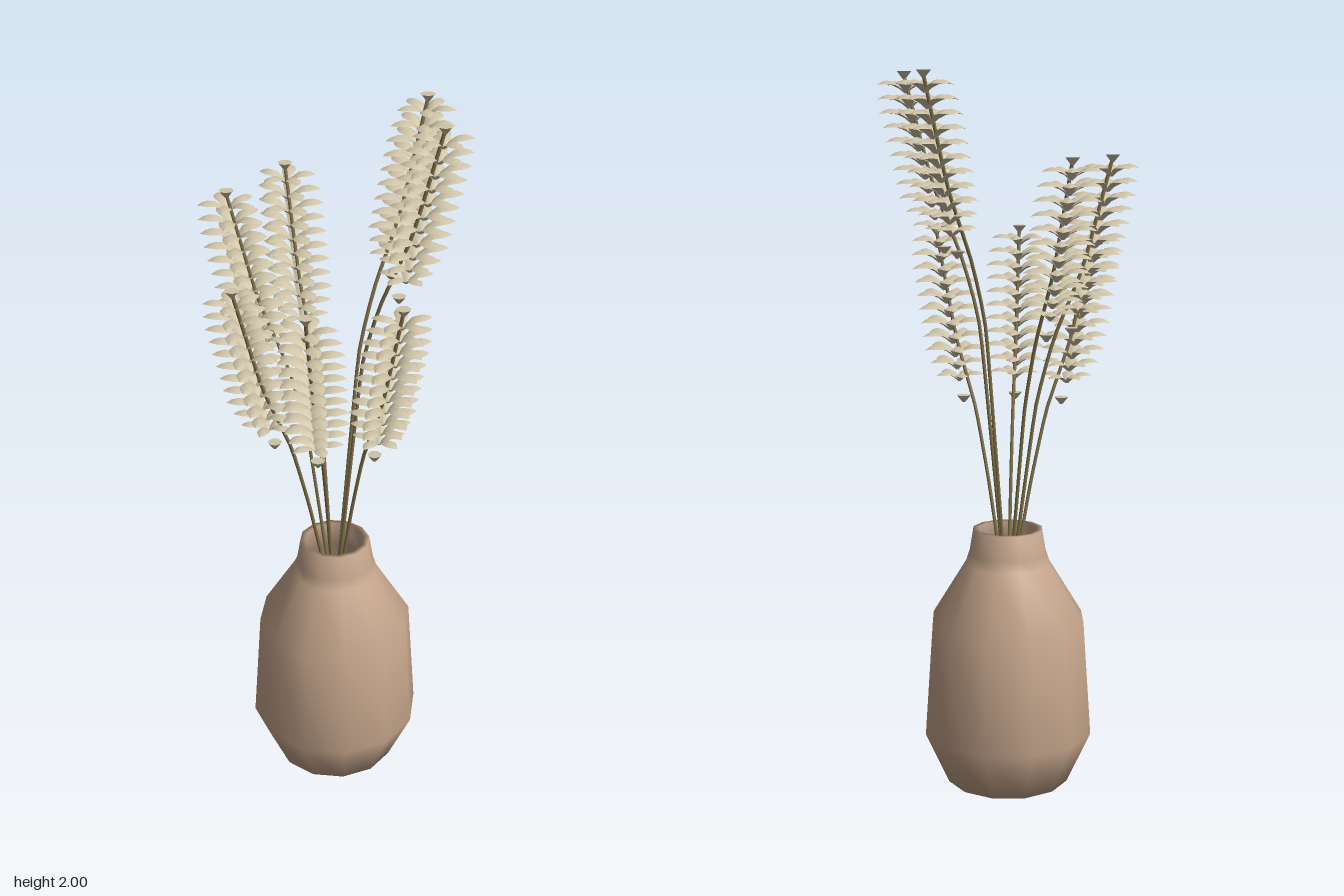
import * as THREE from 'three';
import { mergeGeometries } from 'three/addons/utils/BufferGeometryUtils.js';

const CENTRE_X = -0.007, CENTRE_Z = 0.01;

// Point at height y and share f of the lean towards the tip
const leanPoint = (x, z, y, f) => new THREE.Vector3(
  CENTRE_X + (x - CENTRE_X) * f, y, CENTRE_Z + (z - CENTRE_Z) * f);

// One arched, ridged leaf pointing along +x: [reach, height, half width, fold]
function leafGeometry() {
  const rows = [
    [0.003, -0.034, 0.004, 0.001], [0.018, -0.014, 0.012, 0.006],
    [0.04, 0.002, 0.02, 0.011], [0.062, 0.005, 0.022, 0.012],
    [0.08, 0, 0.014, 0.007], [0.094, -0.009, 0.001, 0],
  ];
  const positions = [], index = [];
  rows.forEach(([r, y, w, fold], i) => {
    positions.push(r, y - fold, -w, r, y, 0, r, y - fold, w);
    if (i === 0) return;
    const a = (i - 1) * 3, b = i * 3;
    for (let k = 0; k < 2; k++) {
      index.push(a + k, a + k + 1, b + k, a + k + 1, b + k + 1, b + k);
    }
  });
  const geometry = new THREE.BufferGeometry();
  geometry.setAttribute('position', new THREE.Float32BufferAttribute(positions, 3));
  geometry.setIndex(index);
  geometry.computeVertexNormals();
  return geometry;
}

// Five leaves to each tier, stacked along a leaning line
function plumeGeometry(bottom, top, turn, leaf) {
  const tiers = 11, parts = [];
  for (let t = 0; t < tiers; t++) {
    const u = t / (tiers - 1);
    const size = Math.min(1, 0.86 + u * 0.9, 0.78 + (1 - u) * 1.2);
    const p = top.clone().lerp(bottom, 0.04 + u * 0.8);
    for (let k = 0; k < 5; k++) {
      const g = leaf.clone();
      g.scale(size, size, size);
      g.rotateY(THREE.MathUtils.degToRad(turn) + k * Math.PI * 2 / 5);
      g.translate(p.x, p.y, p.z);
      parts.push(g);
    }
  }
  return mergeGeometries(parts);
}

export function createModel() {
  const model = new THREE.Group();
  model.name = 'vaseWithDriedGrass';
  const clay = new THREE.MeshStandardMaterial({ name: 'clay', color: 0xc6a68c });
  const straw = new THREE.MeshStandardMaterial({ name: 'straw', color: 0xcec3a7, side: THREE.DoubleSide });
  const stalk = new THREE.MeshStandardMaterial({ name: 'stalk', color: 0x82734a });

  // Softly faceted vase: outer wall, rim, then inner wall and floor
  const profile = [
    [0, 0], [0.175, 0], [0.243, 0.15], [0.22, 0.48], [0.122, 0.64], [0.112, 0.67], [0.1, 0.74],
    [0.084, 0.74], [0.095, 0.66], [0.2, 0.47], [0.222, 0.16], [0.16, 0.03], [0, 0.03],
  ].map(([r, y]) => new THREE.Vector2(r, y));
  const vase = new THREE.Mesh(new THREE.LatheGeometry(profile, 12), clay);
  vase.name = 'vase';
  vase.position.set(CENTRE_X, 0, CENTRE_Z);
  model.add(vase);

  // Seven stems: tip x, tip z, tip height, turn of the leaves in degrees
  const stems = [
    [0.02, -0.275, 2.0, 106], [0.235, -0.145, 2.0, 65], [0.275, 0.01, 1.57, 0],
    [0.165, 0.235, 1.57, -20], [-0.08, 0.285, 1.57, 90], [-0.285, -0.04, 1.78, 205],
    [-0.215, 0.2, 1.78, 240],
  ];
  const leaf = leafGeometry();
  const budShape = new THREE.CylinderGeometry(0.02, 0.004, 0.02, 7);
  for (const [x, z, h, turn] of stems) {
    const grass = new THREE.Group();
    grass.name = 'grassStem';

    // Stem: nearly straight, then bending outward under the plume
    const knots = [[0.5, 0], [h - 0.7, 0.27], [h - 0.5, 0.45], [h - 0.3, 0.73], [h - 0.01, 1]];
    const curve = new THREE.CatmullRomCurve3(
      knots.map(([y, f]) => leanPoint(x, z, y, f)), false, 'catmullrom', 0.2);
    const stem = new THREE.Mesh(new THREE.TubeGeometry(curve, 24, 0.005, 6), stalk);
    stem.name = 'stem';

    const top = leanPoint(x, z, h - 0.01, 1);
    const bottom = leanPoint(x, z, h - 0.48, 0.62);
    const plume = new THREE.Mesh(plumeGeometry(bottom, top, turn, leaf), straw);
    plume.name = 'plume';
    grass.add(stem, plume);

    // Small buds at the tip and below the plume
    for (const p of [top, bottom]) {
      const bud = new THREE.Mesh(budShape, straw);
      bud.name = 'bud';
      bud.position.copy(p);
      grass.add(bud);
    }
    model.add(grass);
  }
  return model;
}
